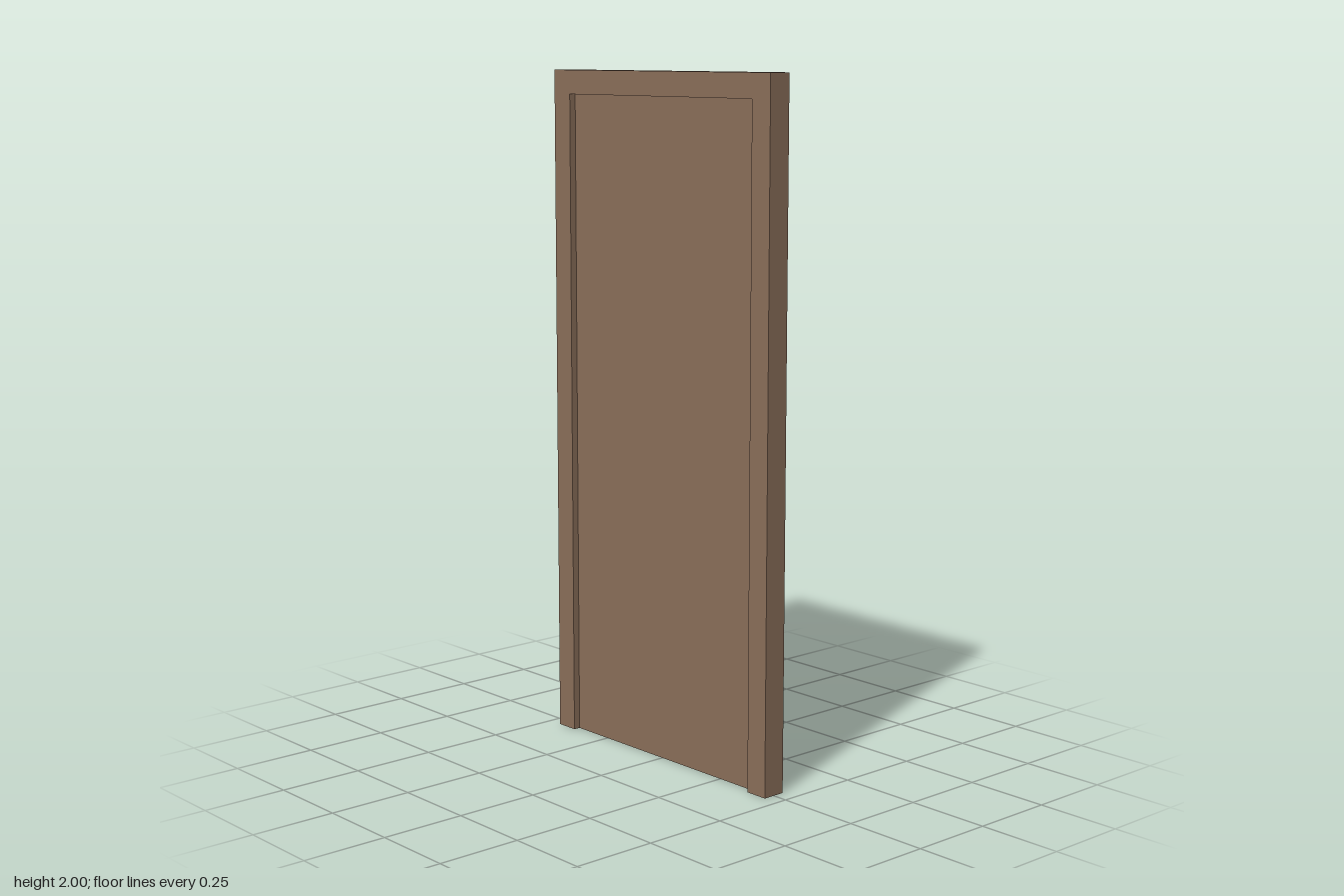
import * as THREE from 'three';

const WIDTH = 0.907, HEIGHT = 2, DEPTH = 0.07, TRIM = 0.07, PANEL = 0.029;

export function createModel() {
  const group = new THREE.Group();
  group.name = 'door';
  const wood = new THREE.MeshStandardMaterial({ color: 0x8b6f5a });

  // Door frame: two jambs and a header as one U-shaped profile, open at the floor
  const outer = WIDTH / 2, inner = outer - TRIM, lintel = HEIGHT - TRIM;
  const profile = new THREE.Shape([
    [-outer, 0], [-inner, 0], [-inner, lintel], [inner, lintel],
    [inner, 0], [outer, 0], [outer, HEIGHT], [-outer, HEIGHT],
  ].map(([x, y]) => new THREE.Vector2(x, y)));
  const frameGeometry = new THREE.ExtrudeGeometry(profile, { depth: DEPTH, bevelEnabled: false });
  frameGeometry.translate(0, 0, -DEPTH / 2);
  frameGeometry.rotateY(Math.PI / 2);
  const frame = new THREE.Mesh(frameGeometry, wood);
  frame.name = 'doorFrame';

  // Flat leaf recessed equally on both faces of the frame
  const leaf = new THREE.Mesh(new THREE.BoxGeometry(PANEL, lintel, inner * 2), wood);
  leaf.name = 'doorLeaf';
  leaf.position.y = lintel / 2;

  group.add(frame, leaf);
  return group;
}
